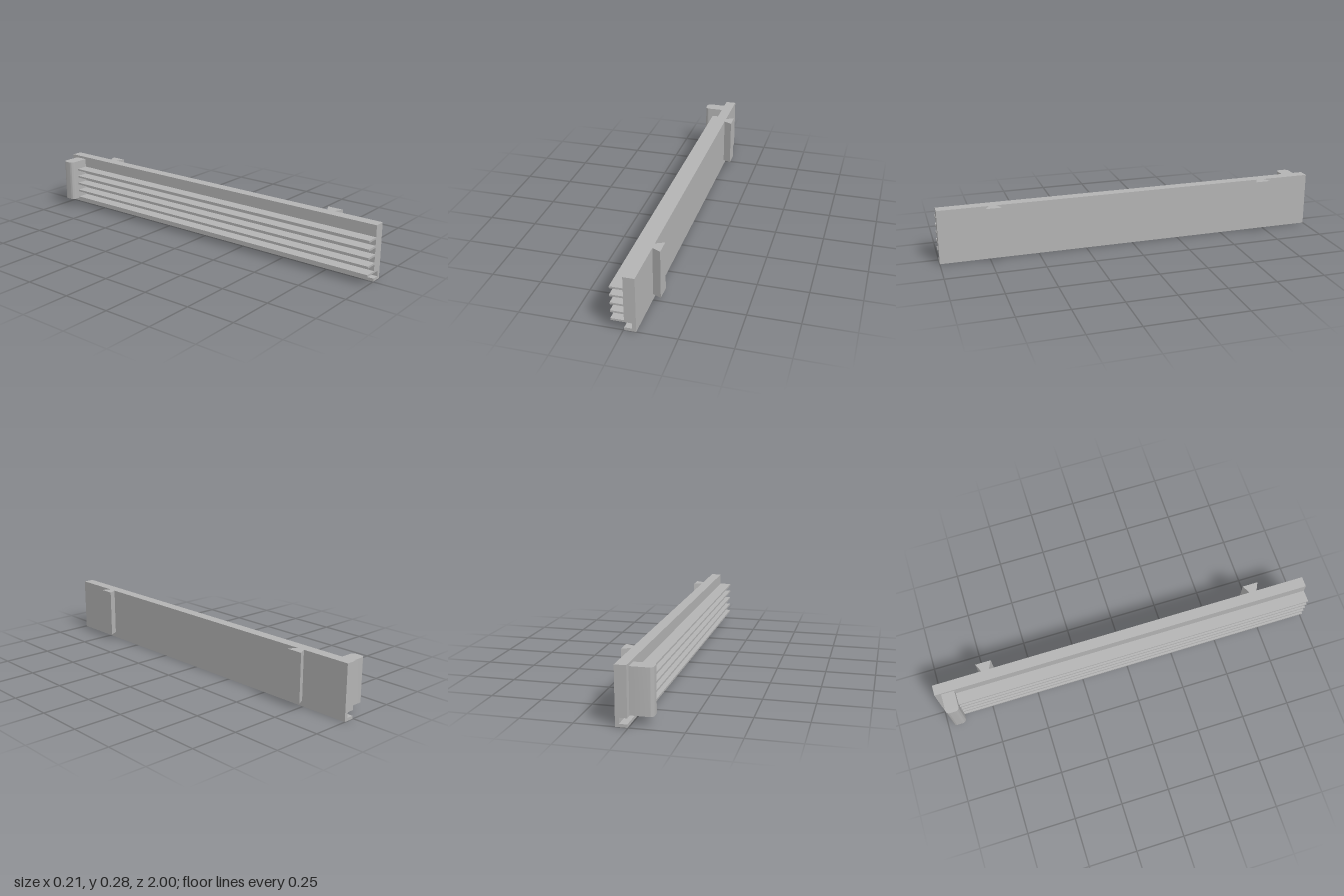
import * as THREE from 'three';
import { toCreasedNormals } from 'three/addons/utils/BufferGeometryUtils.js';

export function createModel() {
  const model = new THREE.Group();
  const grey = new THREE.MeshStandardMaterial({ color: 0xb3b3b3 });
  grey.name = 'plain grey';

  const add = (name, geometry) => {
    const mesh = new THREE.Mesh(geometry, grey);
    mesh.name = name;
    model.add(mesh);
    return mesh;
  };

  // Box given by its limits on each axis
  const box = (name, [x0, x1], [y0, y1], [z0, z1]) =>
    add(name, new THREE.BoxGeometry(x1 - x0, y1 - y0, z1 - z0))
      .position.set((x0 + x1) / 2, (y0 + y1) / 2, (z0 + z1) / 2);

  // Upright prism; the outline is drawn in plan as (x, -z)
  const upright = (shape, y0, y1) =>
    new THREE.ExtrudeGeometry(shape, { depth: y1 - y0, bevelEnabled: false, curveSegments: 8 })
      .rotateX(-Math.PI / 2).translate(0, y0, 0);

  const back = 0.004, face = 0.059;

  // Long panel with a groove along its lower inner edge
  const section = new THREE.Shape([
    [back, 0], [face, 0], [face, 0.279], [back, 0.279],
    [back, 0.043], [0.041, 0.043], [0.041, 0.015], [back, 0.015],
  ].map(([x, y]) => new THREE.Vector2(x, y)));
  add('panel', new THREE.ExtrudeGeometry(section, { depth: 2, bevelEnabled: false }).translate(0, 0, -1));

  // Stop that closes the groove inside
  box('grooveStop', [back, 0.041], [0.015, 0.043], [-0.02, 0.02]);

  // Horizontal fins
  for (let i = 0; i < 5; i++) {
    const y = 0.043 + i * 0.042;
    box('fin', [-0.059, back], [y, y + 0.01], [-0.9, 1]);
  }

  // End block with rounded outer corners
  const x0 = -0.104, z0 = 0.9, z1 = 0.968, r = 0.02;
  const plan = new THREE.Shape();
  plan.moveTo(back, z0);
  plan.lineTo(back, z1);
  plan.lineTo(x0 + r, z1);
  plan.absarc(x0 + r, z1 - r, r, Math.PI / 2, Math.PI, false);
  plan.lineTo(x0, z0 + r);
  plan.absarc(x0 + r, z0 + r, r, Math.PI, Math.PI * 1.5, false);
  plan.closePath();
  add('endBlock', toCreasedNormals(upright(plan, 0.045, 0.266), 0.6));

  // Dovetail rails on the outer face
  const dovetail = new THREE.Shape([
    [face, -0.02], [0.102, -0.041], [0.102, 0.041], [face, 0.02],
  ].map(([x, y]) => new THREE.Vector2(x, y)));
  for (const z of [-0.724, 0.724]) {
    add('dovetailRail', upright(dovetail, 0.029, 0.279)).position.z = z;
  }

  return model;
}
